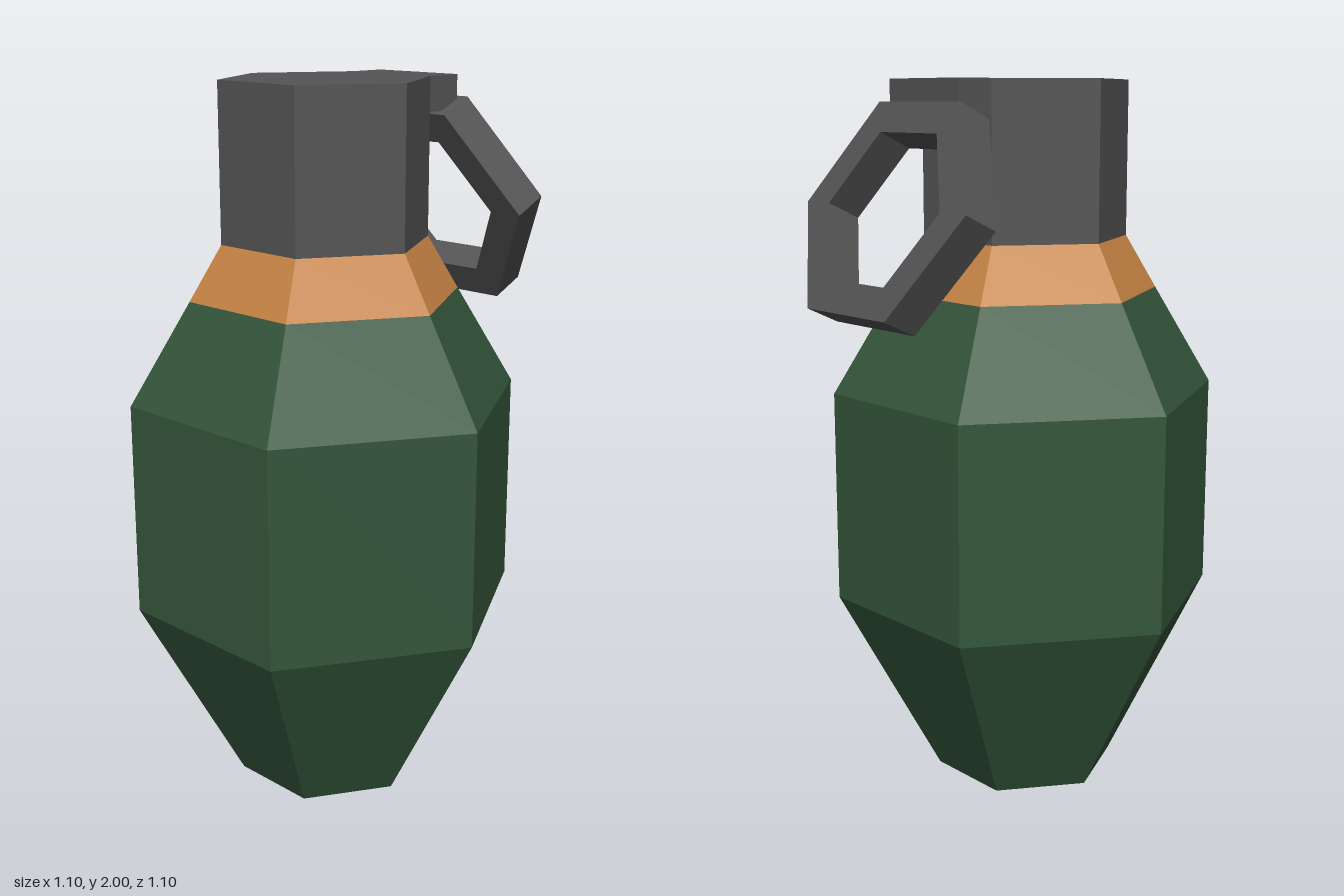
import * as THREE from 'three';

const paint = (color) => new THREE.MeshStandardMaterial({ color, flatShading: true });

function hexagon(radius, Path) {
  const pts = [];
  for (let i = 0; i < 6; i++) {
    const a = (i * Math.PI) / 3;
    pts.push(new THREE.Vector2(radius * Math.cos(a), radius * Math.sin(a)));
  }
  return new Path(pts);
}

export function createModel() {
  const group = new THREE.Group();
  const green = paint(0x34563b);
  const orange = paint(0xc88545);
  const grey = paint(0x555555);

  const add = (name, geometry, material, x, y, z = 0) => {
    const mesh = new THREE.Mesh(geometry, material);
    mesh.name = name;
    mesh.position.set(x, y, z);
    group.add(mesh);
    return mesh;
  };

  // six-sided turned parts, corners towards front and back
  const axisX = -0.075;
  const turned = (name, material, profile) =>
    add(name, new THREE.LatheGeometry(profile.map(([r, y]) => new THREE.Vector2(r, y)), 6), material, axisX, 0);

  turned('body', green, [[0, 0], [0.26, 0], [0.55, 0.54], [0.55, 1.14], [0.38, 1.42]]);
  turned('collar', orange, [[0.38, 1.42], [0.29, 1.57]]);
  turned('neck', grey, [[0.29, 1.57], [0.29, 2], [0, 2]]);

  // lug on the side of the neck that carries the ring
  add('lug', new THREE.BoxGeometry(0.11, 0.095, 0.29), grey, 0.231, 1.9525);

  // hexagonal pull ring, leaning outwards
  const outline = hexagon(0.341, THREE.Shape);
  outline.holes.push(hexagon(0.24, THREE.Path));
  const ring = new THREE.ExtrudeGeometry(outline, { depth: 0.105, bevelEnabled: false });
  ring.translate(0, 0, -0.0525);
  ring.rotateY(Math.PI / 2);
  ring.rotateZ(THREE.MathUtils.degToRad(25));
  add('pullRing', ring, grey, 0.378, 1.651);

  return group;
}
